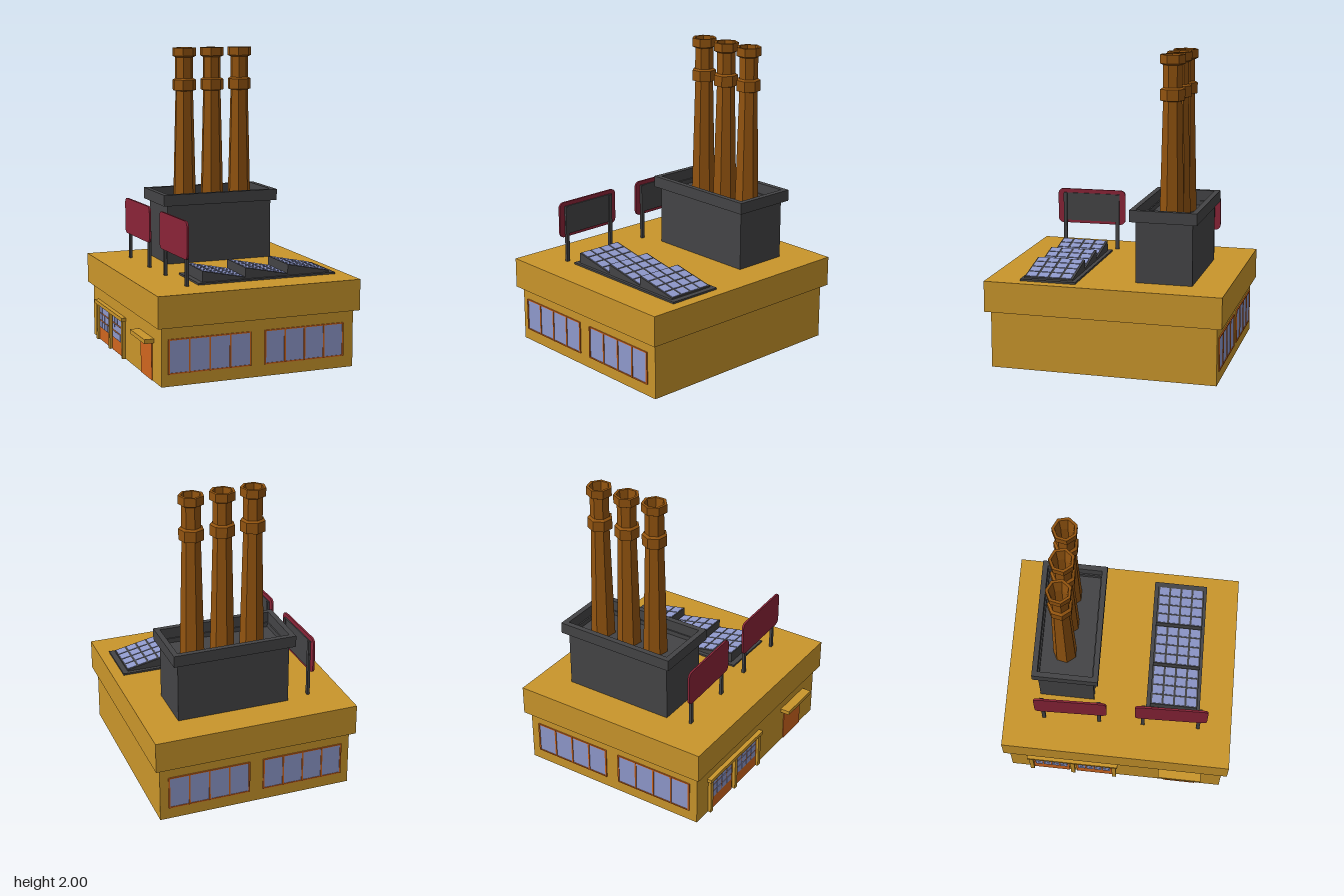
import * as THREE from 'three';

const mat = (color, extra = {}) => new THREE.MeshStandardMaterial({ color, flatShading: true, ...extra });
const TAN = mat(0xc9952b), DARK = mat(0x444446), BROWN = mat(0x91530f), RED = mat(0x8a2438);
const ORANGE = mat(0xd0661f), GLASS = mat(0x8f99cc);

// The building leans in plan: x shifts slightly with z
const SHEAR = new THREE.Matrix4().set(1, 0, -0.0325, 0, 0, 1, 0, 0, 0, 0, 1, 0, 0, 0, 0, 1);

export function createModel() {
  const root = new THREE.Group();
  root.name = 'factory';

  const part = (name, parent = root) => {
    const g = new THREE.Group();
    g.name = name;
    parent.add(g);
    return g;
  };
  const add = (parent, name, geo, material, shear = true) => {
    if (shear) geo.applyMatrix4(SHEAR);
    const m = new THREE.Mesh(geo, material);
    m.name = name;
    parent.add(m);
    return m;
  };
  // Box given by its limits on each axis
  const box = (parent, name, material, [x0, x1], [y0, y1], [z0, z1], shear = true) =>
    add(parent, name, new THREE.BoxGeometry(x1 - x0, y1 - y0, z1 - z0)
      .translate((x0 + x1) / 2, (y0 + y1) / 2, (z0 + z1) / 2), material, shear);
  // Rectangular tube standing upright, with wall thickness t
  const ring = (parent, name, material, cx, cz, hx, hz, t, y0, y1) => {
    const rect = (P, a, b) => {
      const p = new P();
      p.moveTo(-a, -b); p.lineTo(a, -b); p.lineTo(a, b); p.lineTo(-a, b); p.closePath();
      return p;
    };
    const s = rect(THREE.Shape, hx, hz);
    s.holes.push(rect(THREE.Path, hx - t, hz - t));
    const g = new THREE.ExtrudeGeometry(s, { depth: y1 - y0, bevelEnabled: false });
    add(parent, name, g.rotateX(-Math.PI / 2).translate(cx, y0, cz), material);
  };

  // Walls and overhanging roof, open underneath
  const CX = 0.0075;
  ring(root, 'walls', TAN, CX, 0, 0.65, 0.735, 0.02, 0, 0.38);
  ring(root, 'roofEdge', TAN, CX, 0, 0.6825, 0.77, 0.16, 0.37, 0.57);
  box(root, 'roof', TAN, [CX - 0.5225, CX + 0.5225], [0.54, 0.57], [-0.61, 0.61]);

  // Window bands on the front and back
  for (const s of [1, -1]) for (const c of [-0.326, 0.314]) {
    const g = part(s > 0 ? 'frontWindows' : 'backWindows');
    const cx = s * c, zr = (d) => [s * 0.735 - d, s * 0.735 + d];
    const x0 = cx - 0.27, x1 = cx + 0.27;
    box(g, 'glass', GLASS, [x0, x1], [0.08, 0.29], zr(0.003));
    for (let i = 0; i <= 4; i++) {
      const x = x0 + i * 0.135;
      box(g, 'mullion', ORANGE, [x - 0.005, x + 0.005], [0.077, 0.293], zr(0.008));
    }
    for (const y of [0.08, 0.29])
      box(g, 'rail', ORANGE, [x0, x1], [y - 0.004, y + 0.004], zr(0.007));
  }

  // Side door with its canopy
  const entrance = part('sideEntrance');
  box(entrance, 'door', ORANGE, [-0.647, -0.618], [0, 0.235], [0.34, 0.56]);
  box(entrance, 'canopy', TAN, [-0.705, -0.63], [0.243, 0.27], [0.3, 0.595]);

  // Two glazed loading doors framed by pillars
  const loading = part('loadingDoors');
  for (const z0 of [-0.575, -0.275]) {
    const z1 = z0 + 0.25;
    box(loading, 'doorPanel', ORANGE, [-0.647, -0.618], [0, 0.25], [z0, z1]);
    for (let r = 0; r < 3; r++) for (let c = 0; c < 4; c++) {
      const y = 0.09 + r * 0.052, z = z0 + 0.012 + c * 0.058;
      box(loading, 'pane', GLASS, [-0.65, -0.615], [y, y + 0.044], [z, z + 0.05]);
    }
  }
  for (const z of [-0.59, -0.3, -0.01])
    box(loading, 'pillar', TAN, [-0.664, -0.64], [0, 0.255], [z - 0.014, z + 0.014]);
  box(loading, 'lintel', TAN, [-0.672, -0.64], [0.25, 0.275], [-0.615, 0.015]);

  // Dark chimney housing with a raised rim
  const housing = part('chimneyHousing');
  ring(housing, 'housingWalls', DARK, 0.09, -0.355, 0.376, 0.184, 0.01, 0.57, 0.97);
  ring(housing, 'housingRim', DARK, 0.09, -0.355, 0.41, 0.2175, 0.035, 0.965, 1.04);
  box(housing, 'housingFloor', DARK, [-0.284, 0.464], [0.92, 0.94], [-0.537, -0.173]);
  box(housing, 'housingBase', DARK, [-0.284, 0.464], [0.535, 0.575], [-0.537, -0.173]);

  // Seven-sided hollow chimneys with two collars
  const profile = [[0.08, 0.94], [0.061, 1.71], [0.08, 1.715], [0.08, 1.785], [0.062, 1.795],
    [0.062, 1.935], [0.082, 1.945], [0.082, 2], [0.064, 2], [0.05, 1.9], [0.05, 0.945]]
    .map(([r, y]) => new THREE.Vector2(r, y));
  for (const x of [-0.08, 0.122, 0.325])
    add(root, 'chimney', new THREE.LatheGeometry(profile, 7, Math.PI).translate(x, 0, -0.373), BROWN, false);

  // Saw-tooth solar array
  const solar = part('solarArray');
  box(solar, 'solarBase', DARK, [-0.333, 0.617], [0.565, 0.582], [0.185, 0.55]);
  const L = 0.293, H = 0.652, LOW = 0.592, slope = Math.atan2(H - LOW, L);
  for (let w = 0; w < 3; w++) {
    const x0 = -0.298 + w * L;
    const s = new THREE.Shape([[0, 0.575], [L, 0.575], [L, LOW], [0, H]].map(([x, y]) => new THREE.Vector2(x, y)));
    add(solar, 'solarWedge', new THREE.ExtrudeGeometry(s, { depth: 0.32, bevelEnabled: false })
      .translate(x0, 0, 0.21), DARK);
    for (let c = 0; c < 4; c++) for (let r = 0; r < 4; r++) {
      const u = (c + 0.5) / 4;
      add(solar, 'solarCell', new THREE.BoxGeometry(0.062, 0.006, 0.064).rotateZ(-slope)
        .translate(x0 + u * L, H + (LOW - H) * u, 0.255 + r * 0.0775), GLASS);
    }
  }

  // Roof billboards: rounded red board, dark backing and two posts
  const rounded = (w, h, r) => {
    const s = new THREE.Shape(), a = w / 2 - r, b = h / 2 - r;
    s.absarc(a, b, r, 0, Math.PI / 2);
    s.absarc(-a, b, r, Math.PI / 2, Math.PI);
    s.absarc(-a, -b, r, Math.PI, Math.PI * 1.5);
    s.absarc(a, -b, r, Math.PI * 1.5, Math.PI * 2);
    return s;
  };
  for (const z of [0.357, -0.312]) {
    const g = part('billboard');
    const board = new THREE.ExtrudeGeometry(rounded(0.48, 0.24, 0.035),
      { depth: 0.013, bevelEnabled: false, curveSegments: 4 });
    add(g, 'board', board.rotateY(Math.PI / 2).translate(-0.445, 0.86, z), RED, false);
    box(g, 'backing', DARK, [-0.434, -0.424], [0.76, 0.953], [z - 0.2, z + 0.2], false);
    for (const d of [-0.187, 0.187])
      box(g, 'post', DARK, [-0.435, -0.417], [0.525, 0.95], [z + d - 0.012, z + d + 0.012], false);
  }
  return root;
}
